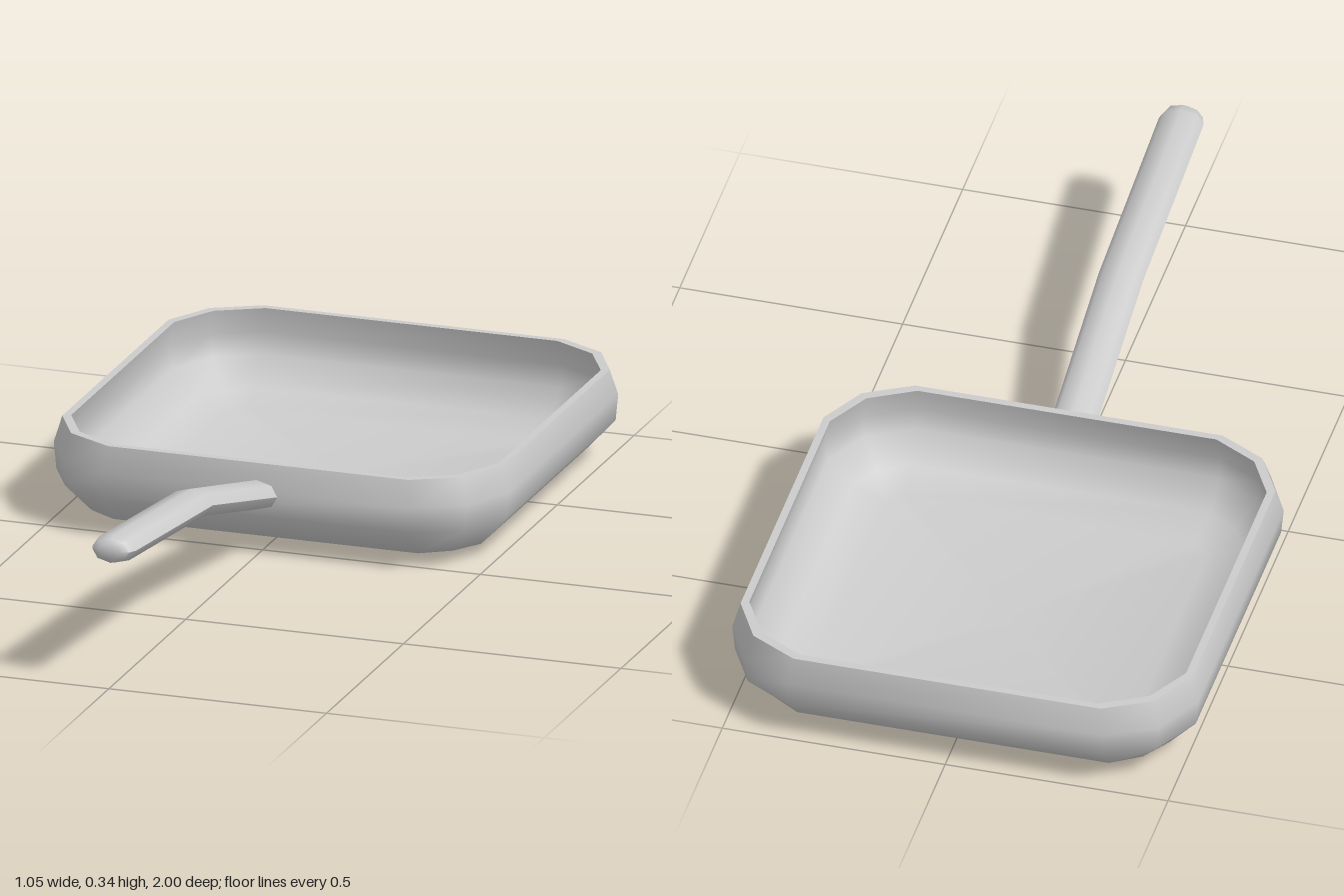
import * as THREE from 'three';
import { toCreasedNormals } from 'three/addons/utils/BufferGeometryUtils.js';

const material = new THREE.MeshStandardMaterial({ color: 0xcccccc });

// Skin a list of equal-length rings (counter-clockwise seen from the last ring) and cap both ends.
function loft(rings, crease) {
  const n = rings[0].length;
  const last = rings.length - 1;
  const points = rings.flat();
  const index = [];
  for (let r = 0; r < last; r++) {
    for (let i = 0; i < n; i++) {
      const j = (i + 1) % n;
      const a = r * n + i, b = r * n + j, c = b + n, d = a + n;
      index.push(a, b, c, a, c, d);
    }
  }
  for (const [r, flip] of [[0, true], [last, false]]) {
    const centre = new THREE.Vector3();
    rings[r].forEach((p) => centre.addScaledVector(p, 1 / n));
    const m = points.push(centre) - 1;
    for (let i = 0; i < n; i++) {
      const a = r * n + i, b = r * n + (i + 1) % n;
      index.push(...(flip ? [m, b, a] : [m, a, b]));
    }
  }
  const geometry = new THREE.BufferGeometry().setFromPoints(points);
  geometry.setIndex(index);
  return toCreasedNormals(geometry, crease);
}

// Square ring: half width h, straight side half length c, corner point at (d, d).
function squareRing([y, h, c, d]) {
  const ring = [];
  for (let q = 0; q < 4; q++) {
    for (let [x, s] of [[h, c], [d, d], [c, h]]) {
      for (let k = 0; k < q; k++) [x, s] = [-s, x];
      ring.push(new THREE.Vector3(x, y, -s));
    }
  }
  return ring;
}

// Eight-sided oval ring across the handle.
function ovalRing([z, y, rx, ry, lean = 0]) {
  return Array.from({ length: 8 }, (_, i) => {
    const a = (i / 8) * Math.PI * 2;
    const up = Math.sin(a) * ry;
    return new THREE.Vector3(Math.cos(a) * rx, y + up, z - up * lean);
  });
}

export function createModel() {
  const group = new THREE.Group();

  // Pan body: up the outside, over the rim, down the inside to the floor
  const profile = [
    [0, 0.37, 0.34, 0.355],
    [0.025, 0.457, 0.35, 0.415],
    [0.09, 0.517, 0.355, 0.46],
    [0.15, 0.523, 0.355, 0.465],
    [0.208, 0.507, 0.345, 0.45],
    [0.208, 0.49, 0.335, 0.435],
    [0.15, 0.503, 0.34, 0.445],
    [0.1, 0.495, 0.34, 0.44],
    [0.043, 0.44, 0.335, 0.4],
    [0.02, 0.36, 0.325, 0.345],
  ];
  const pan = new THREE.Mesh(loft(profile.map(squareRing), 0.9), material);
  pan.name = 'pan';
  pan.position.z = -0.477;
  group.add(pan);

  // Handle: rises from the front wall, bends, and ends in a rounded tip
  const stations = [
    [0.03, 0.136, 0.05, 0.032, 0.2],
    [0.465, 0.255, 0.05, 0.031, 0.18],
    [0.965, 0.31, 0.05, 0.032, 0.1],
    [0.988, 0.312, 0.042, 0.027, 0.1],
    [0.998, 0.313, 0.026, 0.017, 0.1],
  ];
  const handle = new THREE.Mesh(loft(stations.map(ovalRing), 1.0), material);
  handle.name = 'handle';
  group.add(handle);

  return group;
}
